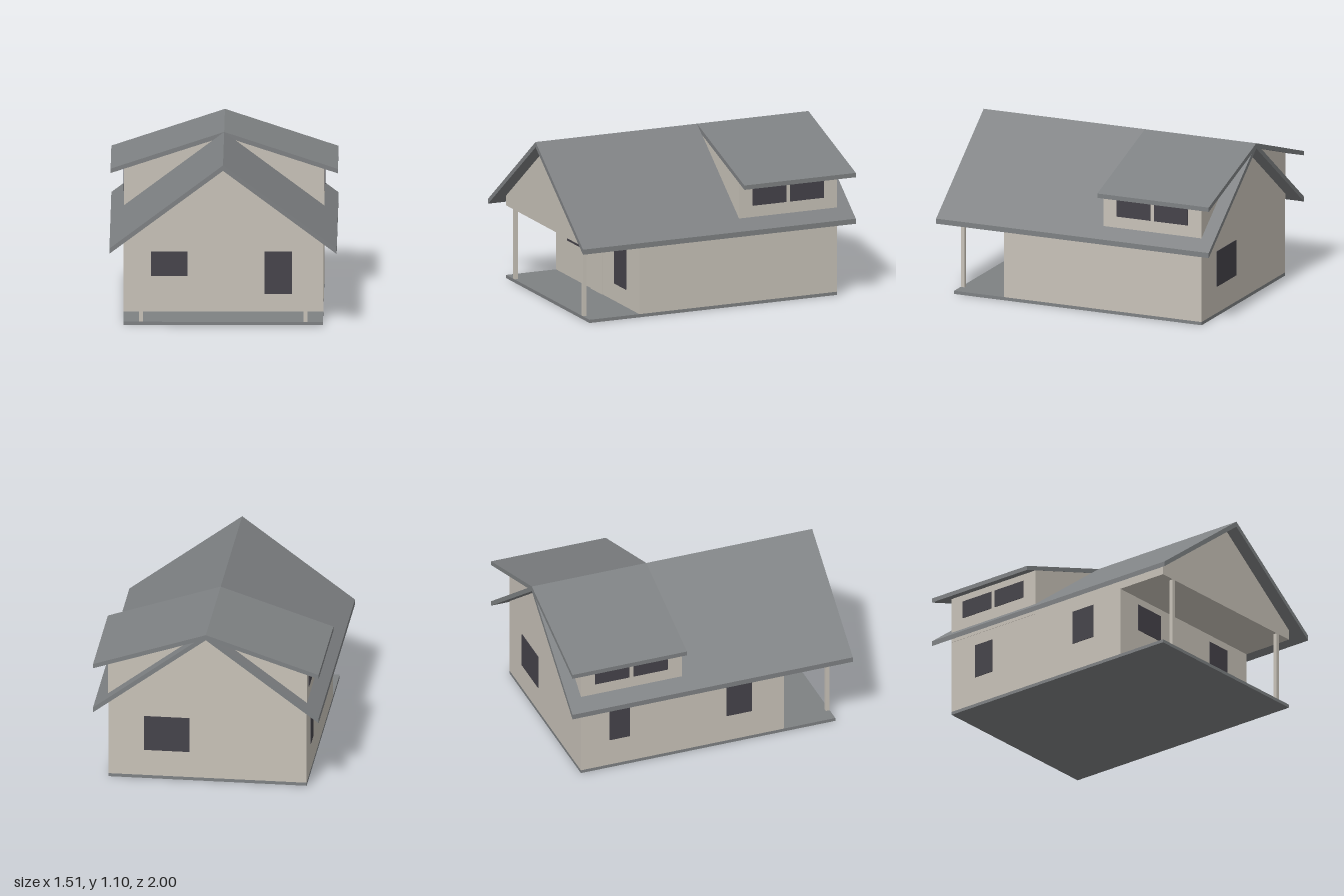
import * as THREE from 'three';

const material = (name, color) => {
  const m = new THREE.MeshStandardMaterial({ color });
  m.name = name;
  return m;
};

export function createModel() {
  const house = new THREE.Group();
  house.name = 'house';
  const wall = material('warm plaster', 0xc8c2b8);
  const slate = material('slate grey', 0x7e8183);
  const glass = material('dark glass', 0x45434a);

  const add = (name, geometry, mat) => {
    const mesh = new THREE.Mesh(geometry, mat);
    mesh.name = name;
    house.add(mesh);
    return mesh;
  };
  // Box given by its limits on each axis
  const box = (name, mat, x0, x1, y0, y1, z0, z1) =>
    add(name, new THREE.BoxGeometry(x1 - x0, y1 - y0, z1 - z0), mat)
      .position.set((x0 + x1) / 2, (y0 + y1) / 2, (z0 + z1) / 2);
  // Outline in x and y, extruded from z0 to z1
  const prism = (name, mat, points, z0, z1) => {
    const shape = new THREE.Shape(points.map(([x, y]) => new THREE.Vector2(x, y)));
    const g = new THREE.ExtrudeGeometry(shape, { depth: z1 - z0, bevelEnabled: false });
    add(name, g.translate(0, 0, z0), mat);
  };
  const gable = (name, w, bottom, eave, apex, z0, z1) =>
    prism(name, wall, [[-w, bottom], [w, bottom], [w, eave], [0, apex], [-w, eave]], z0, z1);
  const roof = (name, eaveLow, eaveHigh, apexLow, z0, z1) =>
    prism(name, slate, [[-0.757, eaveLow], [0, apexLow], [0.757, eaveLow],
      [0.757, eaveHigh], [0, 1.1], [-0.757, eaveHigh]], z0, z1);

  // Floor slab, rooms, and attic reaching out over the porch
  box('floorSlab', slate, -0.665, 0.665, 0, 0.022, -0.905, 0.91);
  box('groundFloorWalls', wall, -0.665, 0.665, 0.022, 0.5, -0.905, 0.545);
  gable('atticGable', 0.665, 0.5, 0.569, 1.065, -0.905, 0.91);
  gable('dormerWalls', 0.667, 0.53, 0.85, 1.068, -0.905, -0.185);

  // Roofs
  roof('mainRoof', 0.5, 0.535, 1.063, -1, 1);
  roof('dormerRoof', 0.82, 0.85, 1.068, -1, -0.183);

  // Porch posts and front door
  for (const s of [-1, 1]) {
    const x = s * 0.5475;
    box('porchPost', wall, x - 0.0135, x + 0.0135, 0.022, 0.5, 0.883, 0.909);
  }
  box('frontDoor', wall, -0.1, 0.086, 0.022, 0.43, 0.545, 0.551);

  // Windows as thin panes
  const t = 0.004;
  box('frontWindow', glass, -0.482, -0.24, 0.264, 0.45, 0.545, 0.545 + t);
  box('frontWindow', glass, 0.273, 0.458, 0.142, 0.45, 0.545, 0.545 + t);
  box('backWindow', glass, 0.12, 0.425, 0.205, 0.45, -0.905 - t, -0.905);
  for (const [z0, z1] of [[-0.7, -0.555], [0.135, 0.315]])
    box('sideWindow', glass, -0.665 - t, -0.665, 0.215, 0.45, z0, z1);
  for (const s of [-1, 1])
    for (const [z0, z1] of [[-0.53, -0.285], [-0.805, -0.56]])
      box('dormerWindow', glass, s * 0.667 - t, s * 0.667 + t, 0.68, 0.802, z0, z1);

  return house;
}
